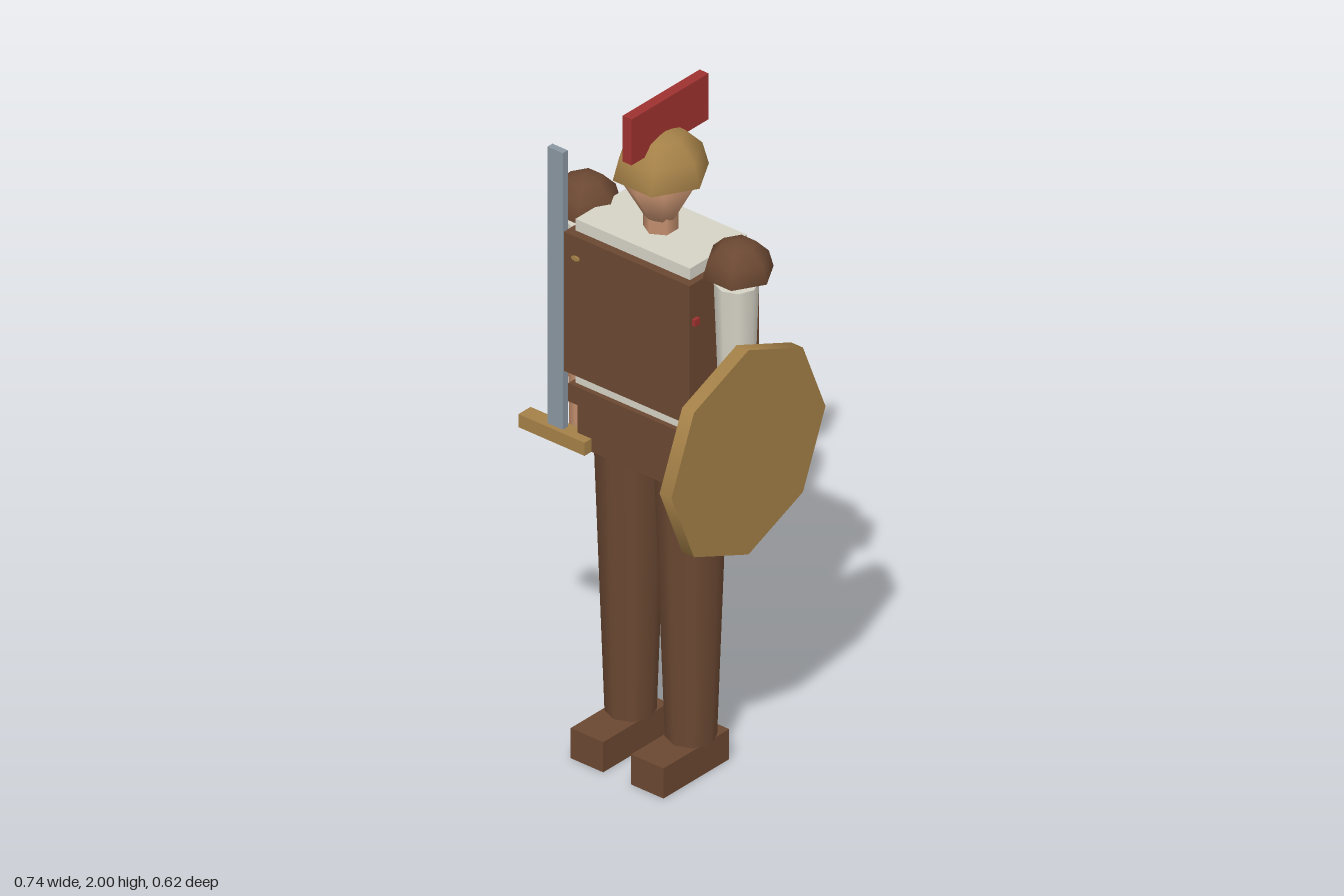
import * as THREE from 'three';

export function createModel() {
  const root = new THREE.Group();
  const paint = (name, color, side = THREE.FrontSide) => {
    const m = new THREE.MeshStandardMaterial({ color, side });
    m.name = name;
    return m;
  };
  const leather = paint('leather', 0x6b4832, THREE.DoubleSide);
  const bronze = paint('bronze', 0xa58148, THREE.DoubleSide);
  const linen = paint('linen', 0xd6d3c6);
  const skin = paint('skin', 0xc4906f);
  const crimson = paint('crimson', 0x9e3230);
  const steel = paint('steel', 0x8b97a1);

  const CX = -0.006, CZ = -0.084; // body axis

  const add = (name, geometry, material, x, y, z) => {
    const mesh = new THREE.Mesh(geometry, material);
    mesh.name = name;
    mesh.position.set(x, y, z);
    root.add(mesh);
    return mesh;
  };
  // Box given by its extents on each axis
  const box = (name, material, x0, x1, y0, y1, z0, z1) =>
    add(name, new THREE.BoxGeometry(x1 - x0, y1 - y0, z1 - z0), material,
      (x0 + x1) / 2, (y0 + y1) / 2, (z0 + z1) / 2);
  // Tapered limb section between two heights
  const limb = (name, material, x, y0, y1, rTop, rBottom) =>
    add(name, new THREE.CylinderGeometry(rTop, rBottom, y1 - y0, 8), material, x, (y0 + y1) / 2, CZ);
  const dome = (r) => new THREE.SphereGeometry(r, 6, 3, 0, Math.PI * 2, 0, Math.PI / 2);

  // Torso and clothing
  box('tunic', linen, -0.203, 0.192, 1.1, 1.605, -0.2, 0.03);
  box('cuirass', leather, -0.222, 0.212, 1.145, 1.57, -0.225, 0.055);
  box('belt', leather, -0.216, 0.204, 1.05, 1.105, -0.215, 0.045);
  box('skirt', leather, -0.19, 0.17, 0.92, 1.05, -0.205, 0.037);

  // Small fittings on the cuirass
  const badge = add('badge', new THREE.CylinderGeometry(0.014, 0.014, 0.006, 8), bronze, -0.18, 1.505, 0.057);
  badge.rotation.x = Math.PI / 2;
  badge.scale.z = 0.5;
  box('strapPin', crimson, -0.232, 0.222, 1.445, 1.465, 0.025, 0.045);

  // Neck, head, helmet and crest
  add('neck', new THREE.CylinderGeometry(0.047, 0.047, 0.07, 6), skin, CX, 1.63, CZ);
  const headProfile = [[0, 1.643], [0.045, 1.645], [0.102, 1.745], [0.065, 1.79], [0, 1.85]]
    .map(([r, y]) => new THREE.Vector2(r, y));
  add('head', new THREE.LatheGeometry(headProfile, 8), skin, CX, 0, CZ);
  add('helmet', dome(0.134), bronze, CX, 1.773, CZ);
  box('crest', crimson, -0.022, 0.009, 1.86, 2.0, -0.26, 0.052);

  // Mirrored limbs
  for (const s of [-1, 1]) {
    const side = s > 0 ? 'left' : 'right';
    const armX = CX + s * 0.261, legX = CX + s * 0.104;
    add(side + 'ShoulderGuard', dome(0.099), leather, CX + s * 0.264, 1.567, -0.087);
    limb(side + 'Sleeve', linen, armX, 1.2, 1.535, 0.06, 0.048);
    limb(side + 'Forearm', skin, armX, 0.9, 1.2, 0.047, 0.042);
    limb(side + 'Leg', leather, legX, 0.09, 0.99, 0.1, 0.069);
    box(side + 'Foot', leather, legX - 0.056, legX + 0.056, 0, 0.092, -0.173, 0.093);
  }

  // Sword held upright by the right hand
  box('swordBlade', steel, -0.282, -0.229, 0.96, 1.805, 0.031, 0.051);
  box('swordGuard', bronze, -0.37, -0.142, 0.92, 0.96, 0.016, 0.065);

  // Octagonal shield on the left side
  const shield = add('shield', new THREE.CylinderGeometry(0.312, 0.312, 0.041, 8), bronze, 0.3475, 1.098, 0);
  shield.rotation.z = Math.PI / 2;

  return root;
}
